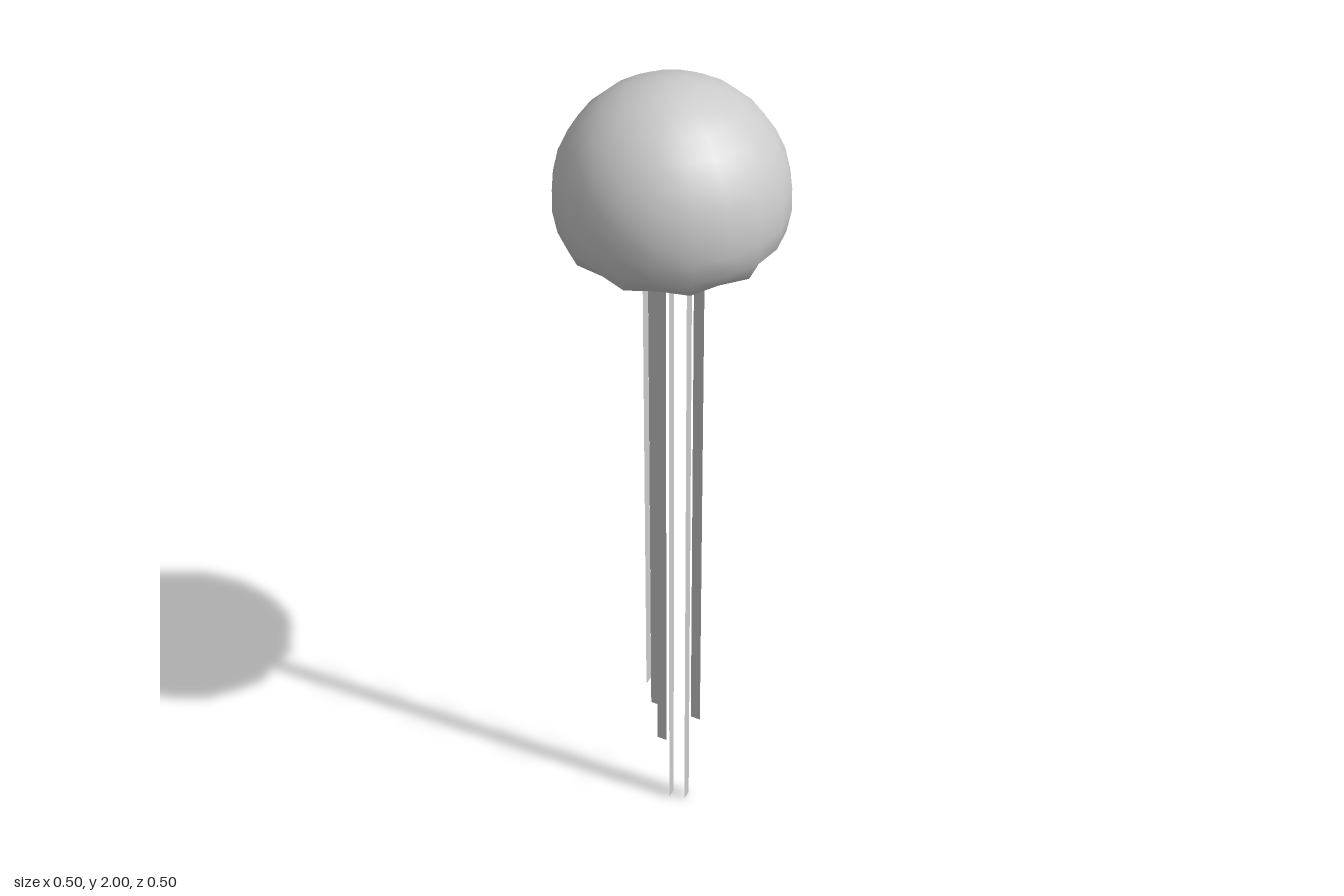
import * as THREE from 'three';
import { mergeVertices } from 'three/addons/utils/BufferGeometryUtils.js';

const grey = new THREE.MeshStandardMaterial({ color: 0xcccccc, side: THREE.DoubleSide });

// Lathe a profile, optionally bend its vertices, and smooth it across the seam
function smoothLathe(points, segments, bend) {
  const geo = new THREE.LatheGeometry(points, segments);
  if (bend) {
    const pos = geo.attributes.position;
    const v = new THREE.Vector3();
    for (let i = 0; i < pos.count; i++) {
      v.fromBufferAttribute(pos, i);
      bend(v, Math.floor(i / points.length));
      pos.setXYZ(i, v.x, v.y, v.z);
    }
  }
  geo.deleteAttribute('uv');
  geo.deleteAttribute('normal');
  const merged = mergeVertices(geo, 1e-5);
  merged.computeVertexNormals();
  return merged;
}

// Points of a dome arc, from the rim angle up to the crown
function arc(radius, centreY, fromAngle, steps) {
  return Array.from({ length: steps + 1 }, (_, i) => {
    const a = THREE.MathUtils.lerp(fromAngle, Math.PI / 2, i / steps);
    return new THREE.Vector2(Math.max(0, radius * Math.cos(a)), centreY + radius * Math.sin(a));
  });
}

export function createModel() {
  const group = new THREE.Group();
  const add = (name, geo) => {
    const mesh = new THREE.Mesh(geo, grey);
    mesh.name = name;
    group.add(mesh);
    return mesh;
  };

  // Hollow bell: underside down to the rim, then the outer dome up to the crown
  const inner = arc(0.222, 1.745, -0.3, 7).reverse();
  const rim = [new THREE.Vector2(0.205, 1.645), new THREE.Vector2(0.22, 1.638)];
  const outer = arc(0.25, 1.75, -0.29, 9);
  add('bell', smoothLathe([...inner, ...rim, ...outer], 20, (v, column) => {
    // Scalloped rim: every other column is tucked inward
    if (v.y < 1.66 && column % 2) {
      v.x *= 0.92;
      v.z *= 0.92;
    }
  }));

  // Central mouth stalk, flared into the bell and pointed below
  const stalk = [[0, 1.517], [0.022, 1.54], [0.048, 1.568], [0.066, 1.592], [0.073, 1.63],
    [0.08, 1.68], [0.088, 1.74], [0.1, 1.82], [0.13, 1.92]];
  add('mouthStalk', smoothLathe(stalk.map(([x, y]) => new THREE.Vector2(x, y)), 12));

  // Ribbon tentacles: x, z, lower end, upper end, turned to face sideways
  const ribbons = [
    [-0.06, -0.031, 0.25, 1.6, false],
    [0, 0.054, 0.23, 1.575, false],
    [0.042, -0.047, 0.23, 1.6, false],
    [0.005, 0.012, 0, 1.56, true],
    [0.042, 0.001, 0, 1.575, true],
    [-0.057, 0.012, 0.366, 1.59, true],
  ];
  for (const [x, z, bottom, top, sideways] of ribbons) {
    const ribbon = add('tentacle', new THREE.PlaneGeometry(0.025, top - bottom));
    ribbon.position.set(x, (top + bottom) / 2, z);
    if (sideways) ribbon.rotation.y = Math.PI / 2;
  }
  return group;
}
